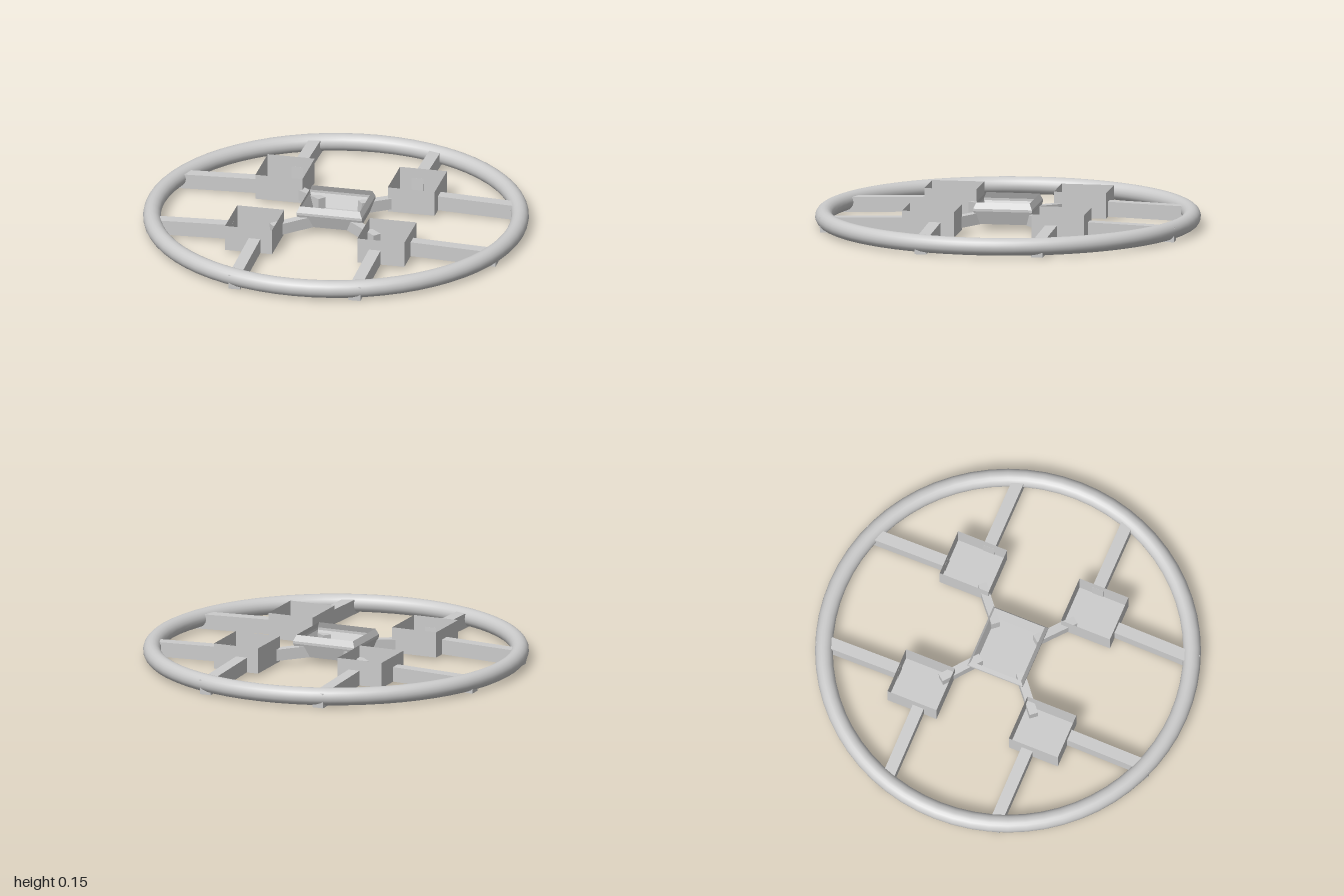
import * as THREE from 'three';

const grey = new THREE.MeshStandardMaterial({ color: 0xcccccc });
const flat = new THREE.MeshStandardMaterial({ color: 0xcccccc, flatShading: true, side: THREE.DoubleSide });

// Open-topped rectangular tray from stacked rings [halfX, halfZ, y], closed by a floor
function trayGeometry(rings) {
  const pos = [], index = [];
  for (const [hx, hz, y] of rings) pos.push(-hx, y, hz, hx, y, hz, hx, y, -hz, -hx, y, -hz);
  for (let r = 0; r < rings.length - 1; r++) {
    for (let i = 0; i < 4; i++) {
      const a = r * 4 + i, b = r * 4 + (i + 1) % 4;
      index.push(a, b, b + 4, a, b + 4, a + 4);
    }
  }
  index.push(0, 2, 1, 0, 3, 2);
  const geo = new THREE.BufferGeometry();
  geo.setAttribute('position', new THREE.Float32BufferAttribute(pos, 3));
  geo.setIndex(index);
  const out = geo.toNonIndexed();
  out.computeVertexNormals();
  return out;
}

// Rectangular beam between two points
function beam(name, from, to, width, height) {
  const a = new THREE.Vector3(...from), b = new THREE.Vector3(...to);
  const mesh = new THREE.Mesh(new THREE.BoxGeometry(width, height, a.distanceTo(b)), flat);
  mesh.position.copy(a).add(b).multiplyScalar(0.5);
  mesh.lookAt(b);
  mesh.name = name;
  return mesh;
}

export function createModel() {
  const model = new THREE.Group();
  model.name = 'ringFrame';

  // Round outer guard
  const ring = new THREE.Mesh(new THREE.TorusGeometry(0.953, 0.046, 20, 64), grey);
  ring.rotation.x = Math.PI / 2;
  ring.position.y = 0.055;
  ring.name = 'outerRing';
  model.add(ring);

  // Central tray with an inward sloping rim
  const tray = new THREE.Mesh(
    trayGeometry([[0.15, 0.13, 0.035], [0.174, 0.154, 0.105], [0.174, 0.154, 0.118], [0.16, 0.14, 0.15]]), flat);
  tray.name = 'centreTray';
  model.add(tray);

  // Four corner units: open box, diagonal arm and two spokes drooping to the ring
  const boxGeo = trayGeometry([[0.125, 0.137, 0.015], [0.125, 0.137, 0.15]]);
  for (const sx of [1, -1]) {
    for (const sz of [1, -1]) {
      const corner = new THREE.Group();
      corner.name = (sz > 0 ? 'front' : 'back') + (sx > 0 ? 'Left' : 'Right') + 'Corner';
      const box = new THREE.Mesh(boxGeo, flat);
      box.position.set(sx * 0.352, 0, sz * 0.34);
      box.name = 'openBox';
      corner.add(box);
      corner.add(beam('diagonalArm', [sx * 0.1, 0.065, sz * 0.11], [sx * 0.28, 0.055, sz * 0.26], 0.045, 0.06));
      corner.add(beam('sideSpoke', [sx * 0.475, 0.055, sz * 0.305], [sx * 0.93, 0.04, sz * 0.305], 0.062, 0.078));
      corner.add(beam('lengthSpoke', [sx * 0.32, 0.055, sz * 0.475], [sx * 0.32, 0.04, sz * 0.93], 0.062, 0.078));
      model.add(corner);
    }
  }
  return model;
}
